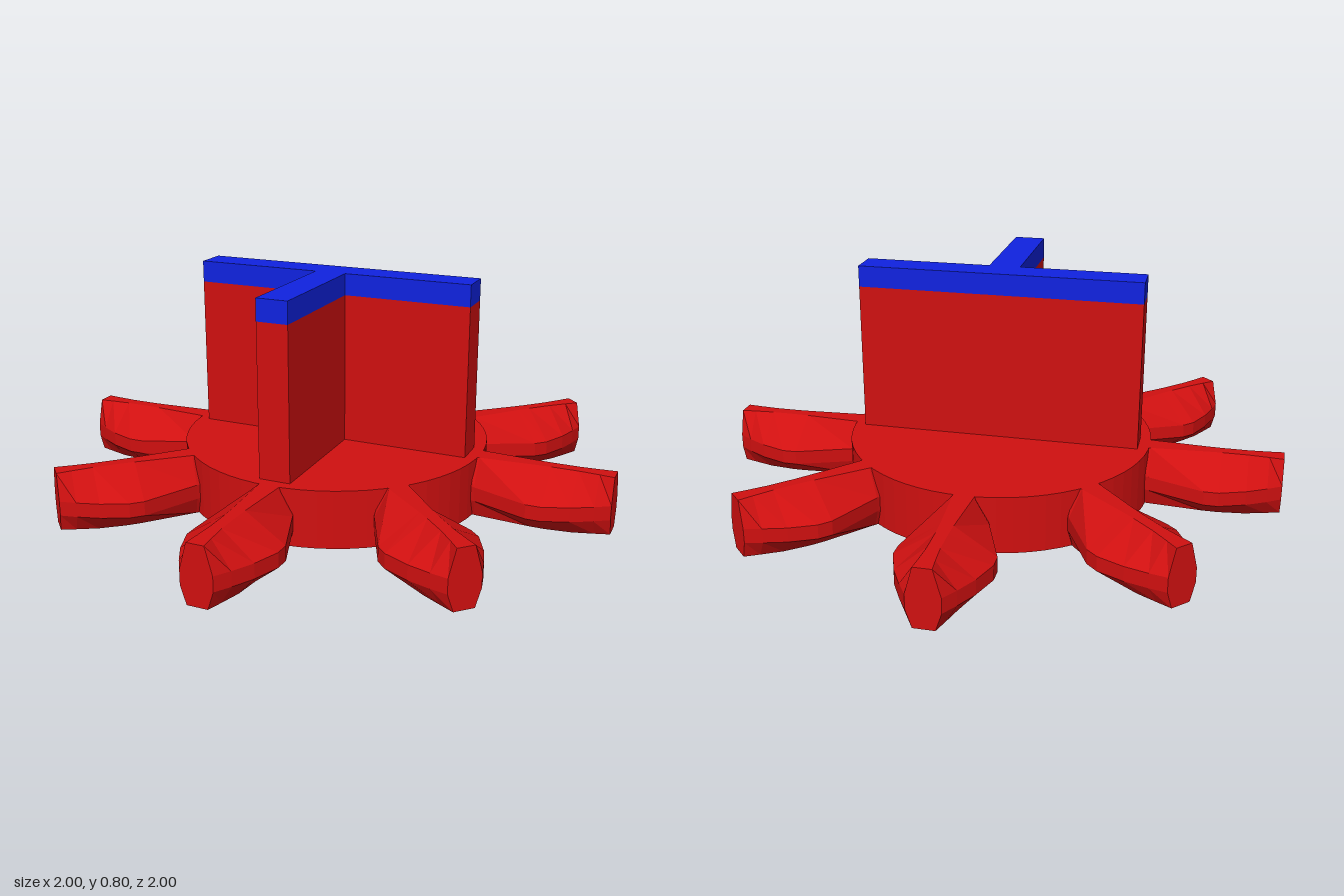
import * as THREE from 'three';

const red = new THREE.MeshStandardMaterial({ color: 0xd01010, flatShading: true });
const blue = new THREE.MeshStandardMaterial({ color: 0x1022e0, flatShading: true });

function part(name, geometry, material) {
  const mesh = new THREE.Mesh(geometry, material);
  mesh.name = name;
  return mesh;
}

// Petal stations along the radius: [radius, widest half-width, ridge half-width, bottom half-width]
const STATIONS = [
  [0.5, 0.07, 0.04, 0.06],
  [0.545, 0.085, 0.035, 0.065],
  [0.74, 0.157, 0.022, 0.08],
  [0.79, 0.157, 0.02, 0.08],
  [0.88, 0.125, 0.02, 0.07],
  [0.95, 0.087, 0.025, 0.05],
  [1.0, 0.055, 0.03, 0.035],
];

// Lofts an eight-sided section along +z, capped at both ends
function petalGeometry() {
  const pos = [], idx = [];
  for (const [r, w, top, bottom] of STATIONS) {
    const half = [[bottom, 0], [w, 0.06], [w, 0.11], [top, 0.2]];
    const ring = [...half, ...half.map(([x, y]) => [-x, y]).reverse()];
    for (const [x, y] of ring) pos.push(x, y, r);
  }
  const n = 8, last = (STATIONS.length - 1) * n;
  for (let s = 0; s < last; s += n) {
    for (let i = 0; i < n; i++) {
      const j = (i + 1) % n;
      idx.push(s + i, s + j, s + n + j, s + i, s + n + j, s + n + i);
    }
  }
  for (let i = 1; i < n - 1; i++) {
    idx.push(0, i + 1, i, last, last + i, last + i + 1);
  }
  // The rings run counter-clockwise seen from +z, so every side face points outward
  const g = new THREE.BufferGeometry();
  g.setAttribute('position', new THREE.Float32BufferAttribute(pos, 3));
  g.setIndex(idx);
  g.computeVertexNormals();
  return g;
}

// T-shaped prism standing between two heights
function teeGeometry(y0, y1) {
  const t = 0.055, l = 0.5;
  const shape = new THREE.Shape(
    [[-l, t], [-l, -t], [-t, -t], [-t, -l], [t, -l], [t, -t], [l, -t], [l, t]]
      .map(([x, y]) => new THREE.Vector2(x, y)));
  return new THREE.ExtrudeGeometry(shape, { depth: y1 - y0, bevelEnabled: false })
    .rotateX(-Math.PI / 2).translate(0, y0, 0);
}

export function createModel() {
  const model = new THREE.Group();
  model.name = 'petalKnob';

  // Round hub with a blind shaft hole underneath
  const profile = [[0, 0.15], [0.07, 0.15], [0.07, 0], [0.54, 0], [0.54, 0.2], [0, 0.2]]
    .map(([x, y]) => new THREE.Vector2(x, y));
  model.add(part('hub', new THREE.LatheGeometry(profile, 64), red));

  // Eight petals around the hub
  const petals = new THREE.Group();
  petals.name = 'petals';
  const geometry = petalGeometry();
  for (let i = 0; i < 8; i++) {
    const petal = part('petal', geometry, red);
    petal.rotation.y = (i * Math.PI) / 4;
    petals.add(petal);
  }
  model.add(petals);

  // T-shaped grip with a coloured cap
  model.add(part('grip', teeGeometry(0.2, 0.725), red));
  model.add(part('gripCap', teeGeometry(0.725, 0.8), blue));
  return model;
}
